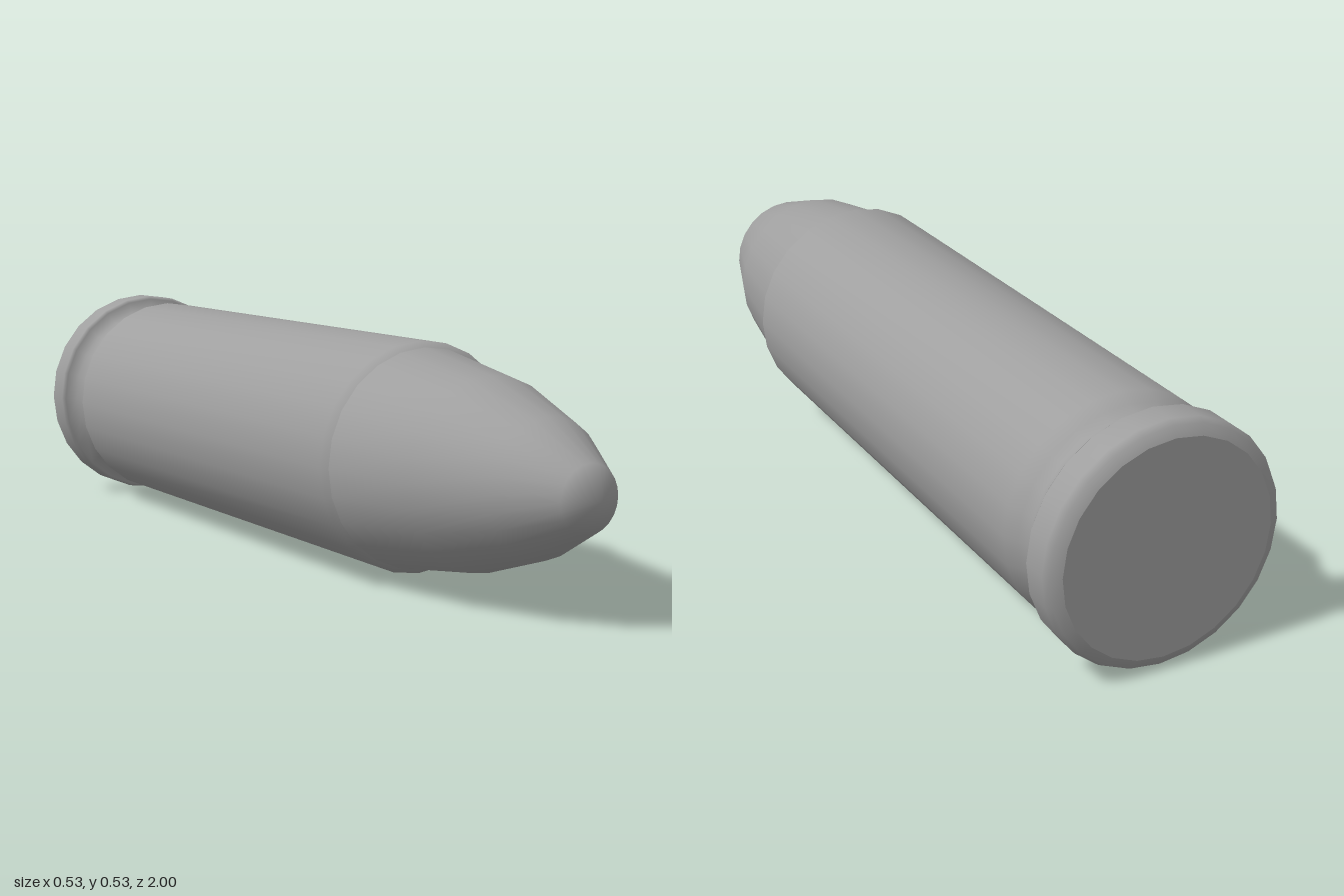
import * as THREE from 'three';
import { mergeVertices } from 'three/addons/utils/BufferGeometryUtils.js';

const SIDES = 24;
const RADIUS = 0.265;

// Revolves a [radius, z] profile, listed back to front, around the z axis.
// Normals are averaged by area, so long faces stay clean and bevels blend in.
function turned(name, profile, material) {
  const points = profile.map(([r, z]) => new THREE.Vector2(r, z));
  const lathe = new THREE.LatheGeometry(points, SIDES);
  lathe.deleteAttribute('uv');
  lathe.deleteAttribute('normal');
  const geometry = mergeVertices(lathe.rotateX(Math.PI / 2));
  geometry.computeVertexNormals();
  const mesh = new THREE.Mesh(geometry, material);
  mesh.name = name;
  mesh.position.y = RADIUS;
  return mesh;
}

export function createModel() {
  const group = new THREE.Group();
  group.name = 'cartridge';
  const material = new THREE.MeshStandardMaterial({ color: 0x9f9f9f });

  // Flat base
  const base = turned('base', [[0, -1], [0.235, -1]], material);

  // Rounded rim, extraction groove, straight case and bevelled mouth
  const caseBody = turned('case', [
    [0.235, -1], [0.257, -0.99], [RADIUS, -0.975],
    [RADIUS, -0.918], [0.258, -0.909], [0.228, -0.905],
    [0.228, -0.865], [0.238, -0.84], [0.253, -0.81],
    [0.253, 0.4], [0.241, 0.412], [0.236, 0.43],
  ], material);

  // Pointed bullet seated in the mouth
  const bullet = turned('bullet', [
    [0.241, 0.41], [0.204, 0.65], [0.143, 0.835], [0.07, 0.965], [0, 1],
  ], material);

  group.add(base, caseBody, bullet);
  return group;
}
